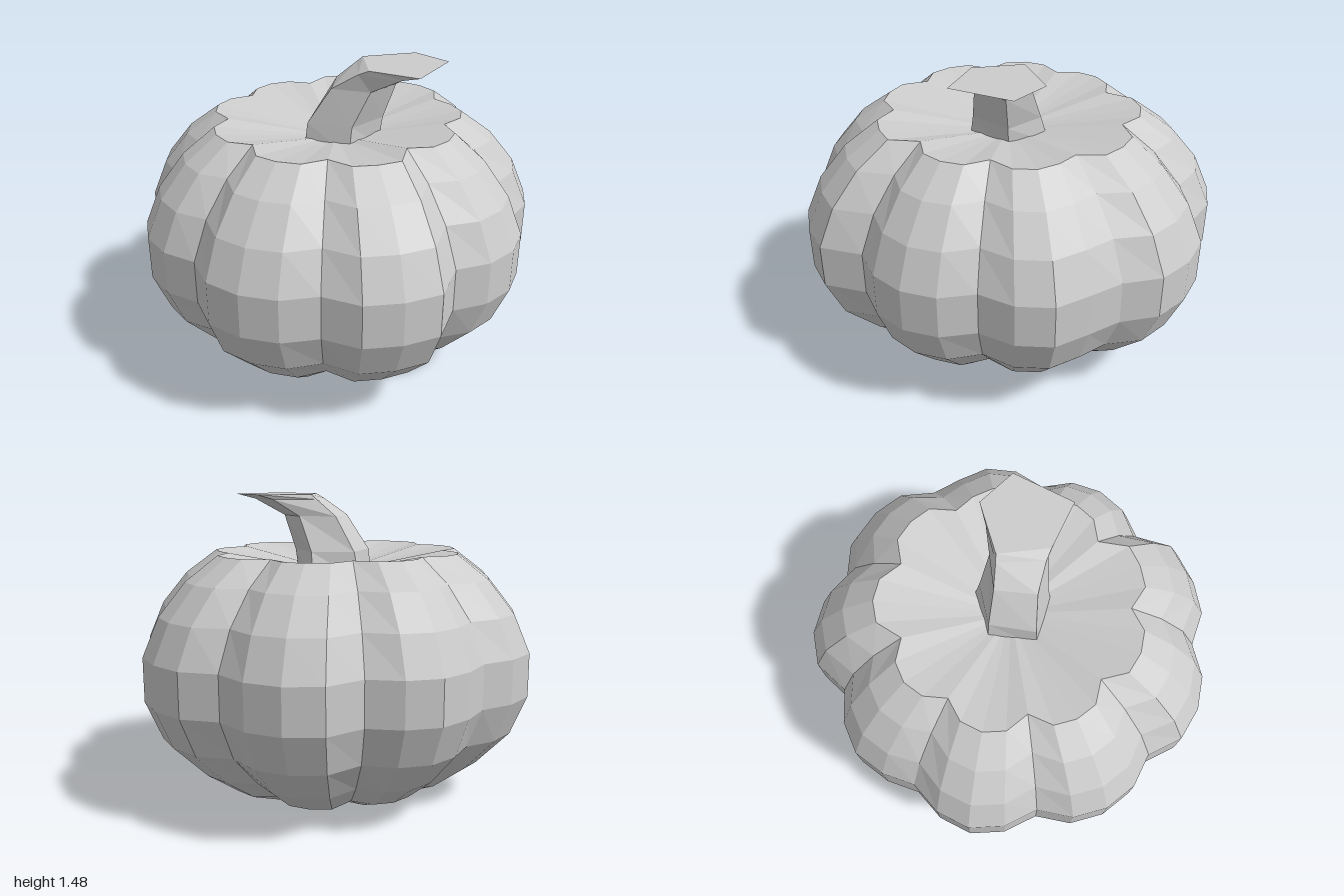
import * as THREE from 'three';

// Joins rings of [x, y, z] points, listed bottom to top, and closes both ends with fans.
function loft(rings, bottom, top) {
  const pos = [];
  const tri = (...pts) => pts.forEach((p) => pos.push(...p));
  const n = rings[0].length;
  const last = rings[rings.length - 1];
  for (let i = 0; i < n; i++) {
    const k = (i + 1) % n;
    for (let j = 0; j < rings.length - 1; j++) {
      const lo = rings[j], hi = rings[j + 1];
      tri(lo[i], hi[i], hi[k]);
      tri(lo[i], hi[k], lo[k]);
    }
    tri(bottom, rings[0][i], rings[0][k]);
    tri(top, last[k], last[i]);
  }
  const geo = new THREE.BufferGeometry();
  geo.setAttribute('position', new THREE.Float32BufferAttribute(pos, 3));
  geo.computeVertexNormals();
  return geo;
}

export function createModel() {
  const group = new THREE.Group();
  group.name = 'pumpkin';
  const grey = new THREE.MeshStandardMaterial({ color: 0xcccccc, flatShading: true });
  grey.name = 'light grey';

  const add = (name, geo) => {
    const mesh = new THREE.Mesh(geo, grey);
    mesh.name = name;
    group.add(mesh);
  };

  // Ribbed body: nine uneven lobes, four facets each, radius every 10 degrees from +x to +z
  const lobes = [
    [0.877, 0.944, 0.963, 0.94],
    [0.877, 1.005, 1.01, 0.999],
    [0.926, 0.985, 1.0, 0.984],
    [0.9, 0.958, 0.972, 0.949],
    [0.876, 0.943, 0.972, 0.943],
    [0.88, 0.93, 0.96, 0.934],
    [0.875, 0.986, 1.012, 0.992],
    [0.928, 1.005, 1.02, 1.007],
    [0.93, 0.942, 0.978, 0.949],
  ].flat();
  // Height and width of each level
  const levels = [
    [0, 0.435], [0.06, 0.59], [0.18, 0.755], [0.35, 0.92], [0.54, 1],
    [0.75, 1], [0.93, 0.92], [1.085, 0.79], [1.2, 0.63],
  ];
  const cx = 0.018;
  const bodyRings = levels.map(([y, s]) => lobes.map((r, i) => {
    const a = (i / lobes.length) * Math.PI * 2;
    const groove = i % 4 === 0 ? 1 - 0.14 * (1 - s) : 1; // grooves deepen toward the ends
    return [cx + Math.cos(a) * r * s * groove, y, Math.sin(a) * r * s * groove];
  }));
  // Both ends dip toward the middle
  add('body', loft(bodyRings, [cx, 0.05, 0], [cx, 1.09, 0]));

  // Bent five-sided stem that flares at its cut end: height, then x, z of the corners
  const stemLevels = [
    [1.06, [-0.13, -0.08], [0.066, -0.2], [0.22, -0.03], [0.12, 0.175], [-0.105, 0.153]],
    [1.2, [-0.1, -0.08], [0.09, -0.165], [0.24, -0.03], [0.13, 0.155], [-0.09, 0.14]],
    [1.37, [0, -0.075], [0.17, -0.13], [0.3, -0.03], [0.21, 0.13], [0.02, 0.12]],
    [1.45, [0.095, -0.085], [0.29, -0.175], [0.44, -0.075], [0.36, 0.17], [0.15, 0.13]],
    [1.475, [0.125, -0.09], [0.36, -0.215], [0.535, -0.1], [0.446, 0.2], [0.203, 0.142]],
  ];
  const stemRings = stemLevels.map(([y, ...pts]) => pts.map(([x, z]) => [x, y, z]));
  add('stem', loft(stemRings, [0.04, 1.06, 0], [0.33, 1.475, 0]));

  return group;
}
